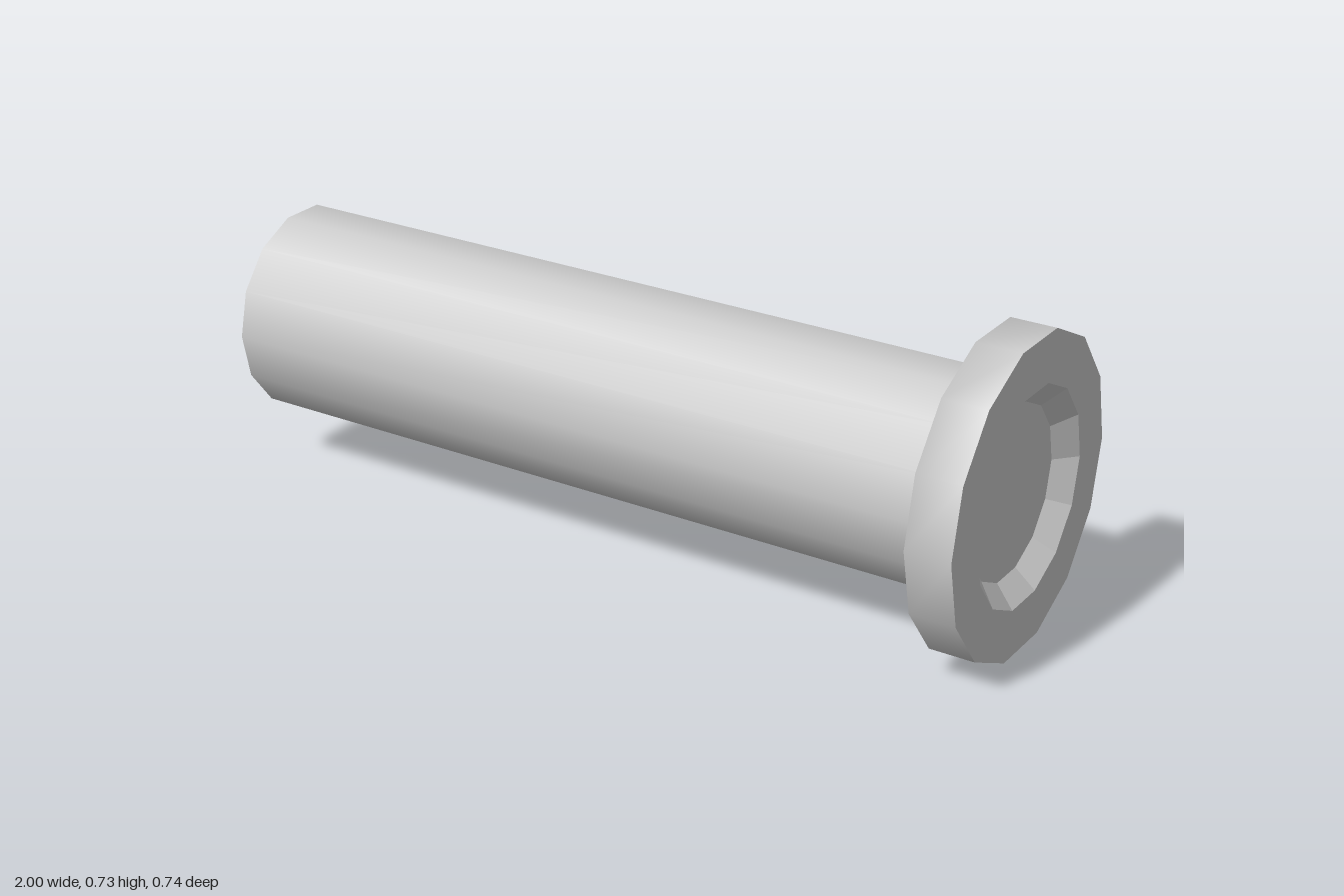
import * as THREE from 'three';

const SIDES = 14;
const CENTRE_Y = 0.367;

// Revolves [x, radius] pairs around the horizontal x axis, slightly taller than wide
function revolve(name, profile, flatShading) {
  const points = profile.map(([x, r]) => new THREE.Vector2(r, x));
  const geometry = new THREE.LatheGeometry(points, SIDES);
  geometry.rotateZ(-Math.PI / 2);
  geometry.scale(1, 1.0235, 1);
  const material = new THREE.MeshStandardMaterial({
    color: 0xcccccc, flatShading, side: THREE.DoubleSide,
  });
  const mesh = new THREE.Mesh(geometry, material);
  mesh.name = name;
  mesh.position.y = CENTRE_Y;
  return mesh;
}

export function createModel() {
  const group = new THREE.Group();
  group.name = 'flangedTube';

  // Open tube running smoothly into the back and rim of the flange
  group.add(revolve('tubeAndRim', [[-1, 0.25], [0.89, 0.25], [0.89, 0.368], [1, 0.368]], false));

  // Flat end ring, bevelled recess and the recess floor
  group.add(revolve('endRing', [[1, 0.368], [1, 0.25]], true));
  group.add(revolve('recessBevel', [[1, 0.25], [0.955, 0.2]], true));
  group.add(revolve('recessFloor', [[0.955, 0.2], [0.955, 0]], true));

  return group;
}
